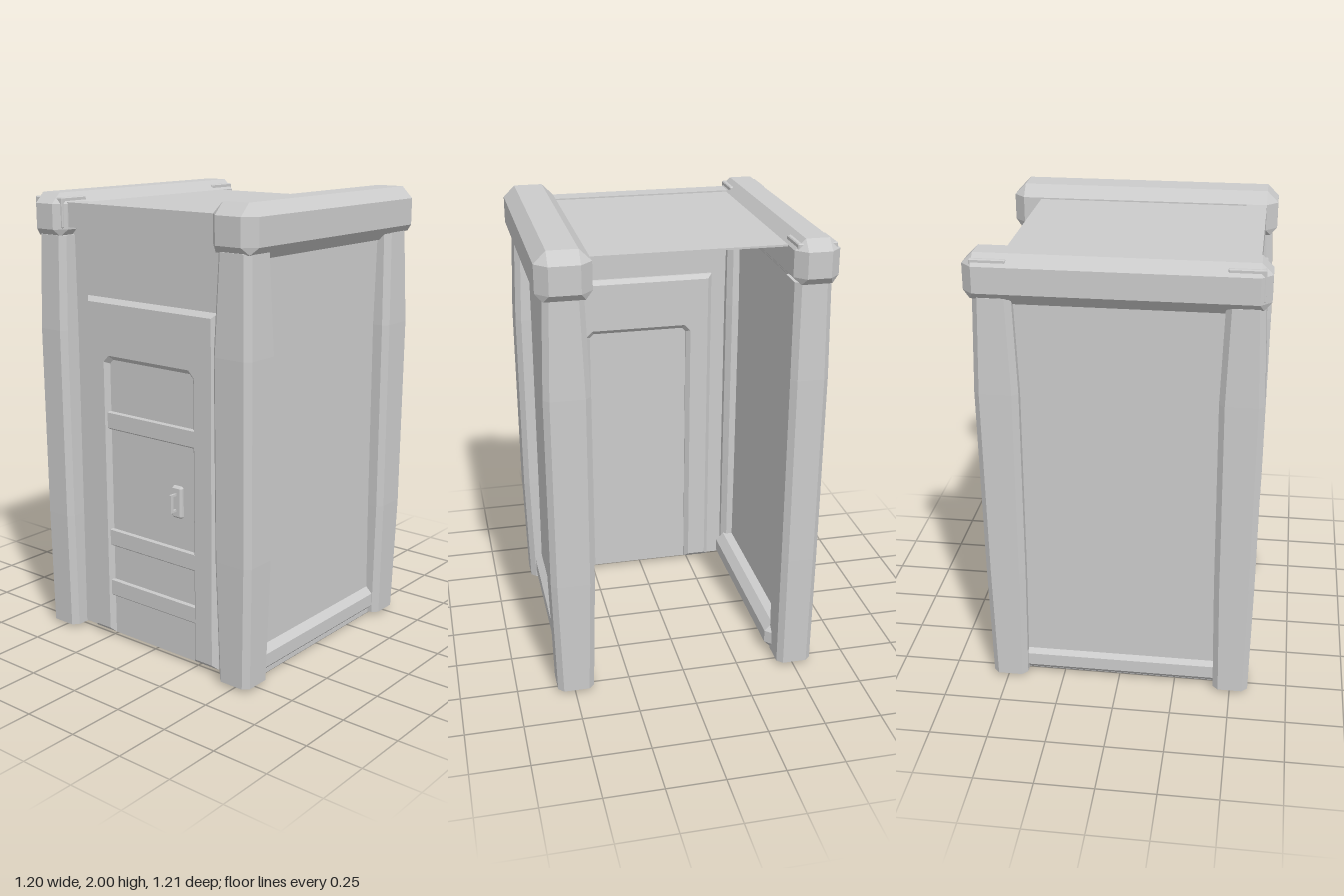
import * as THREE from 'three';
import { ConvexGeometry } from 'three/addons/geometries/ConvexGeometry.js';

const grey = new THREE.MeshStandardMaterial({ color: 0xcccccc, flatShading: true });
const greyThin = new THREE.MeshStandardMaterial({ color: 0xcccccc, flatShading: true, side: THREE.DoubleSide });

function part(parent, name, geometry, material = grey) {
  const mesh = new THREE.Mesh(geometry, material);
  mesh.name = name;
  parent.add(mesh);
}

// Box given by its limits on each axis
function box(x0, x1, y0, y1, z0, z1) {
  return new THREE.BoxGeometry(x1 - x0, y1 - y0, z1 - z0)
    .translate((x0 + x1) / 2, (y0 + y1) / 2, (z0 + z1) / 2);
}

// Box with its edges and corners cut off by c, or by cBottom around the underside
function chamferBox(x0, x1, y0, y1, z0, z1, c, cBottom = c) {
  const points = [];
  for (const sx of [0, 1]) for (const sy of [0, 1]) for (const sz of [0, 1]) {
    const corner = [sx ? x1 : x0, sy ? y1 : y0, sz ? z1 : z0];
    for (let keep = 0; keep < 3; keep++) {
      const cy = sy ? -c : cBottom;
      const side = keep === 1 ? Math.abs(cy) : c;
      const inward = [sx ? -side : side, cy, sz ? -side : side];
      points.push(new THREE.Vector3(...corner.map((v, i) => (i === keep ? v : v + inward[i]))));
    }
  }
  return new ConvexGeometry(points);
}

// Upright post: eight-sided sections [y, halfX, halfZ] that swell in the middle
function postGeometry(cx, cz, sections, c) {
  const points = [];
  for (const [y, hx, hz] of sections) {
    for (const sx of [-1, 1]) for (const sz of [-1, 1]) {
      points.push(new THREE.Vector3(cx + sx * hx, y, cz + sz * (hz - c)));
      points.push(new THREE.Vector3(cx + sx * (hx - c), y, cz + sz * hz));
    }
  }
  return new ConvexGeometry(points);
}

// One end wall: two posts, header beam, rails, panel and base strip
function endWall(name, o) {
  const wall = new THREE.Group();
  wall.name = name;
  const z = o.postZ;
  part(wall, 'leftPost', postGeometry(0.489, z, o.sections, 0.024));
  part(wall, 'rightPost', postGeometry(-0.502, z, o.sections, 0.024));
  part(wall, 'headerBeam', chamferBox(-0.6, 0.6, 1.805, o.top, ...o.beamZ, o.chamfer, 0.03));
  part(wall, 'panel', box(-0.47, 0.47, 0.06, 1.86, z - 0.025, z + 0.025));
  part(wall, 'bottomRail', chamferBox(-0.47, 0.47, 0.015, 0.145, ...o.railZ, 0.036));
  part(wall, 'topRail', chamferBox(-0.46, 0.46, 1.775, 1.86, z - 0.065, z + 0.065, 0.03));
  part(wall, 'baseStrip', chamferBox(-0.46, 0.455, 0, 0.04, o.footZ - 0.038, o.footZ + 0.038, 0.01));
  return wall;
}

export function createModel() {
  const model = new THREE.Group();
  model.name = 'booth';

  // Front and back walls
  model.add(endWall('frontWall', {
    postZ: 0.495, top: 2.0, beamZ: [0.38, 0.605], chamfer: 0.05, railZ: [0.41, 0.55], footZ: 0.492,
    sections: [[0.015, 0.077, 0.08], [0.55, 0.087, 0.094], [1.4, 0.092, 0.096], [1.81, 0.077, 0.082]],
  }));
  const back = endWall('backWall', {
    postZ: -0.505, top: 1.988, beamZ: [-0.605, -0.417], chamfer: 0.045, railZ: [-0.55, -0.4], footZ: -0.472,
    sections: [[0.015, 0.077, 0.078], [0.55, 0.086, 0.08], [1.4, 0.091, 0.081], [1.81, 0.077, 0.077]],
  });
  model.add(back);

  // Fittings that break through the chamfers of the back beam
  for (const [x0, x1] of [[0.42, 0.565], [-0.575, -0.43]]) {
    part(back, 'beamEndCap', chamferBox(x0, x1, 1.84, 1.97, -0.592, -0.428, 0.004));
  }

  // Flat roof and the side beam it rests on; the left side stays open
  part(model, 'roof', box(-0.47, 0.47, 1.936, 1.944, -0.46, 0.44), greyThin);
  part(model, 'sideBeam', box(-0.55, -0.46, 1.845, 1.95, -0.46, 0.44));
  part(model, 'sideWall', box(-0.505, -0.47, 0.02, 1.85, -0.46, 0.44));

  // Door frame standing out on both faces of the side wall
  const outline = [[0.35, 0.04], [0.35, 1.535], [-0.335, 1.535], [-0.335, 0.04],
    [-0.25, 0.04], [-0.25, 1.28], [-0.22, 1.31], [0.23, 1.31], [0.26, 1.28], [0.26, 0.04]];
  const shape = new THREE.Shape(outline.map(([z, y]) => new THREE.Vector2(z, y)));
  const frame = new THREE.ExtrudeGeometry(shape, {
    depth: 0.05, bevelEnabled: true, bevelThickness: 0.02, bevelSize: 0.02, bevelSegments: 1,
  });
  part(model, 'doorFrame', frame.rotateY(-Math.PI / 2).translate(-0.46, 0, 0));

  // Door leaf with cross bars on the outside
  const door = new THREE.Group();
  door.name = 'door';
  model.add(door);
  part(door, 'doorLeaf', box(-0.51, -0.465, 0.02, 1.3, -0.245, 0.255));
  for (const y of [1.02, 0.48, 0.24]) {
    part(door, 'doorBar', chamferBox(-0.522, -0.5, y - 0.04, y + 0.04, -0.25, 0.26, 0.006));
  }

  // Handle: back plate with a small raised grip
  part(door, 'handlePlate', chamferBox(-0.53, -0.505, 0.66, 0.8, 0.13, 0.185, 0.008));
  part(door, 'handleGrip', box(-0.566, -0.55, 0.69, 0.77, 0.15, 0.16));
  for (const y of [0.69, 0.76]) {
    part(door, 'handleStem', box(-0.555, -0.525, y, y + 0.01, 0.15, 0.16));
  }
  return model;
}
